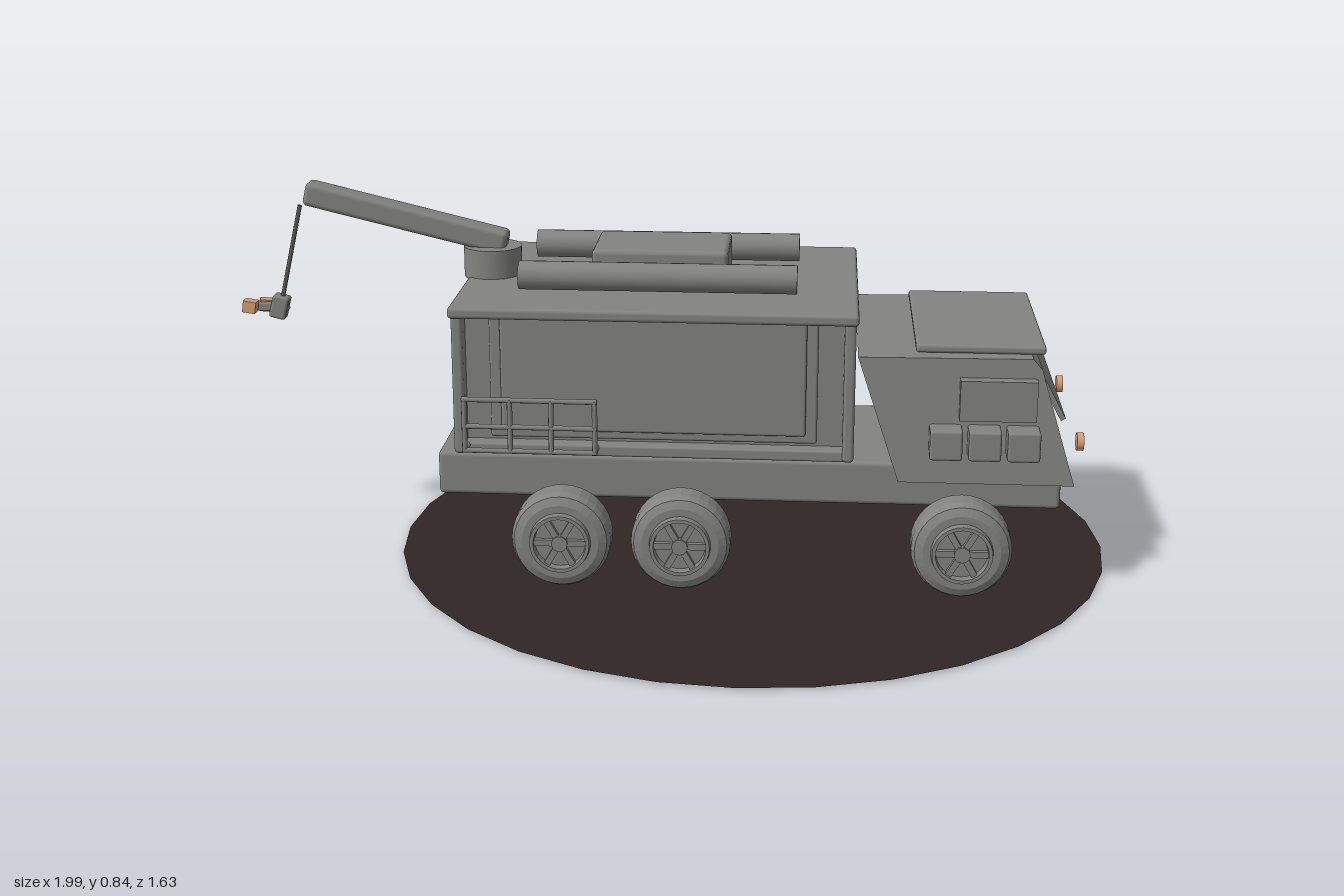
import * as THREE from 'three';
import { RoundedBoxGeometry } from 'three/addons/geometries/RoundedBoxGeometry.js';

export function createModel() {
  const model = new THREE.Group();
  const mat = (name, color) => Object.assign(new THREE.MeshStandardMaterial({ color }), { name });
  const grey = mat('grey metal', 0x838381);
  const dark = mat('dark ground', 0x302525);
  dark.side = THREE.DoubleSide;
  const orange = mat('warm orange', 0xd69e70);
  const cableGrey = mat('cable grey', 0x5c5c5c);

  const add = (name, geo, m = grey, parent = model) => {
    const mesh = new THREE.Mesh(geo, m);
    mesh.name = name;
    parent.add(mesh);
    return mesh;
  };
  // Box given by its limits, rounded when r > 0
  const box = (name, x0, x1, y0, y1, z0, z1, r = 0, m = grey, parent = model) => {
    const s = [x1 - x0, y1 - y0, z1 - z0];
    const geo = r ? new RoundedBoxGeometry(...s, 2, r) : new THREE.BoxGeometry(...s);
    const mesh = add(name, geo, m, parent);
    mesh.position.set((x0 + x1) / 2, (y0 + y1) / 2, (z0 + z1) / 2);
    return mesh;
  };
  // Same box on both sides of the truck
  const pair = (name, x0, x1, y0, y1, z0, z1, r) => {
    box(name, x0, x1, y0, y1, z0, z1, r);
    box(name, x0, x1, y0, y1, -z1, -z0, r);
  };
  // Rod between two points
  const rod = (name, a, b, r, m = grey, sides = 8) => {
    const p = new THREE.Vector3(...a), q = new THREE.Vector3(...b);
    const d = q.clone().sub(p);
    const mesh = add(name, new THREE.CylinderGeometry(r, r, d.length(), sides), m);
    mesh.position.copy(p).add(q).multiplyScalar(0.5);
    mesh.quaternion.setFromUnitVectors(new THREE.Vector3(0, 1, 0), d.normalize());
    return mesh;
  };

  // Ground disc
  const ground = add('groundDisc', new THREE.CircleGeometry(0.815, 32), dark);
  ground.rotation.x = -Math.PI / 2;
  ground.position.set(0.18, 0.004, 0);

  // Chassis
  box('chassis', -0.52, 0.87, 0.17, 0.27, -0.21, 0.21, 0.01);

  // Cargo body with framed side panels
  box('bodyCore', -0.46, 0.405, 0.3, 0.625, -0.265, 0.265, 0.008);
  box('bodyRoof', -0.47, 0.415, 0.61, 0.635, -0.317, 0.317, 0.008);
  box('rearWall', -0.465, -0.44, 0.3, 0.62, -0.305, 0.305, 0.008);
  box('frontWall', 0.385, 0.41, 0.3, 0.62, -0.305, 0.305, 0.008);
  pair('sill', -0.45, 0.4, 0.3, 0.325, 0.25, 0.3, 0.005);
  pair('sidePanel', -0.385, 0.33, 0.335, 0.612, 0.25, 0.285, 0.006);
  pair('shutter', -0.36, 0.305, 0.355, 0.612, 0.27, 0.298, 0.006);

  // Side rails near the rear
  for (const s of [1, -1]) {
    const z = 0.335 * s;
    for (const x of [-0.435, -0.335, -0.245, -0.15])
      rod('railPost', [x, 0.318, z], [x, 0.438, z], 0.006);
    for (const y of [0.32, 0.375, 0.436])
      rod('railBar', [-0.44, y, z], [-0.145, y, z], 0.006);
    for (const x of [-0.435, -0.15])
      rod('railBracket', [x, 0.32, 0.29 * s], [x, 0.32, z], 0.006);
  }

  // Roof equipment
  box('roofHatch', -0.18, 0.125, 0.625, 0.717, -0.1, 0.1, 0.012);
  for (const z of [-0.153, 0.153])
    rod('roofTube', [-0.335, 0.67, z], [0.28, 0.67, z], 0.032, grey, 20);

  // Cab: side outline extruded, narrowing towards the roof
  const outline = [[0.415, 0.53], [0.508, 0.255], [0.888, 0.255], [0.81, 0.51], [0.79, 0.533]];
  const cabGeo = new THREE.ExtrudeGeometry(
    new THREE.Shape(outline.map((p) => new THREE.Vector2(...p))),
    { depth: 2, bevelEnabled: false });
  cabGeo.translate(0, 0, -1);
  const pos = cabGeo.attributes.position;
  for (let i = 0; i < pos.count; i++)
    pos.setZ(i, pos.getZ(i) * (0.29 - (pos.getY(i) - 0.255) * 0.085));
  cabGeo.computeVertexNormals();
  add('cab', cabGeo);
  box('cabRoofPlate', 0.54, 0.82, 0.533, 0.552, -0.235, 0.235, 0.007);
  const windshield = add('windshield', new THREE.BoxGeometry(0.012, 0.125, 0.48));
  windshield.position.set(0.833, 0.445, 0);
  windshield.rotation.z = 0.5;
  pair('sideWindow', 0.635, 0.8, 0.4, 0.49, 0.27, 0.297, 0);
  for (const x of [0.572, 0.655, 0.738])
    pair('sideLocker', x, x + 0.07, 0.32, 0.387, 0.27, 0.332, 0.006);
  for (const z of [-0.213, 0.213])
    rod('headlight', [0.897, 0.332, z], [0.912, 0.332, z], 0.02, orange, 16);

  // Crane, cable and load
  rod('craneBase', [-0.418, 0.63, 0], [-0.418, 0.7, 0], 0.066, grey, 24);
  const boom = add('craneBoom', new RoundedBoxGeometry(0.475, 0.055, 0.056, 2, 0.012));
  boom.position.set(-0.615, 0.762, 0);
  boom.rotation.z = -0.235;
  rod('cable', [-0.862, 0.785, 0], [-0.913, 0.57, 0], 0.005, cableGrey);
  const hook = box('hookBlock', -0.94, -0.902, 0.518, 0.572, -0.018, 0.018, 0.006);
  hook.rotation.z = -0.25;
  box('hookArm', -0.975, -0.9, 0.535, 0.555, -0.012, 0.012, 0.004);
  const load = [[-0.983, 0.552, 0.03], [-0.925, 0.545, -0.035], [-0.957, 0.545, -0.012]];
  load.forEach(([x, y, z], i) => {
    const brick = add('loadBrick', new THREE.BoxGeometry(0.03, 0.027, 0.028), orange);
    brick.position.set(x, y, z);
    brick.rotation.set(0, 0.15 * i, -0.15);
  });

  // Wheels: lathe tyre with raised rim, spokes and hub
  const profile = [
    [0, 0], [0.085, 0], [0.103, 0.008], [0.11, 0.024], [0.11, 0.072], [0.103, 0.087],
    [0.085, 0.095], [0.068, 0.095], [0.066, 0.11], [0.058, 0.11], [0.056, 0.092], [0, 0.092],
  ].map((p) => new THREE.Vector2(...p));
  const tyreGeo = new THREE.LatheGeometry(profile, 32).toNonIndexed();
  tyreGeo.computeVertexNormals();
  const hubGeo = new THREE.CylinderGeometry(0.018, 0.018, 0.02, 12);
  const spokeGeo = new THREE.BoxGeometry(0.046, 0.012, 0.014);
  for (const s of [1, -1]) for (const x of [-0.23, 0.035, 0.65]) {
    const wheel = new THREE.Group();
    wheel.name = 'wheel';
    add('tyre', tyreGeo, grey, wheel);
    add('hub', hubGeo, grey, wheel).position.y = 0.098;
    for (let i = 0; i < 6; i++) {
      const a = (i * Math.PI) / 3;
      const spoke = add('spoke', spokeGeo, grey, wheel);
      spoke.position.set(Math.cos(a) * 0.036, 0.097, -Math.sin(a) * 0.036);
      spoke.rotation.y = a;
    }
    wheel.position.set(x, 0.11, 0.24 * s);
    wheel.rotation.x = (s * Math.PI) / 2;
    model.add(wheel);
  }
  // Axles
  for (const x of [-0.23, 0.035, 0.65])
    rod('axle', [x, 0.11, -0.25], [x, 0.11, 0.25], 0.02, grey, 12);

  return model;
}
